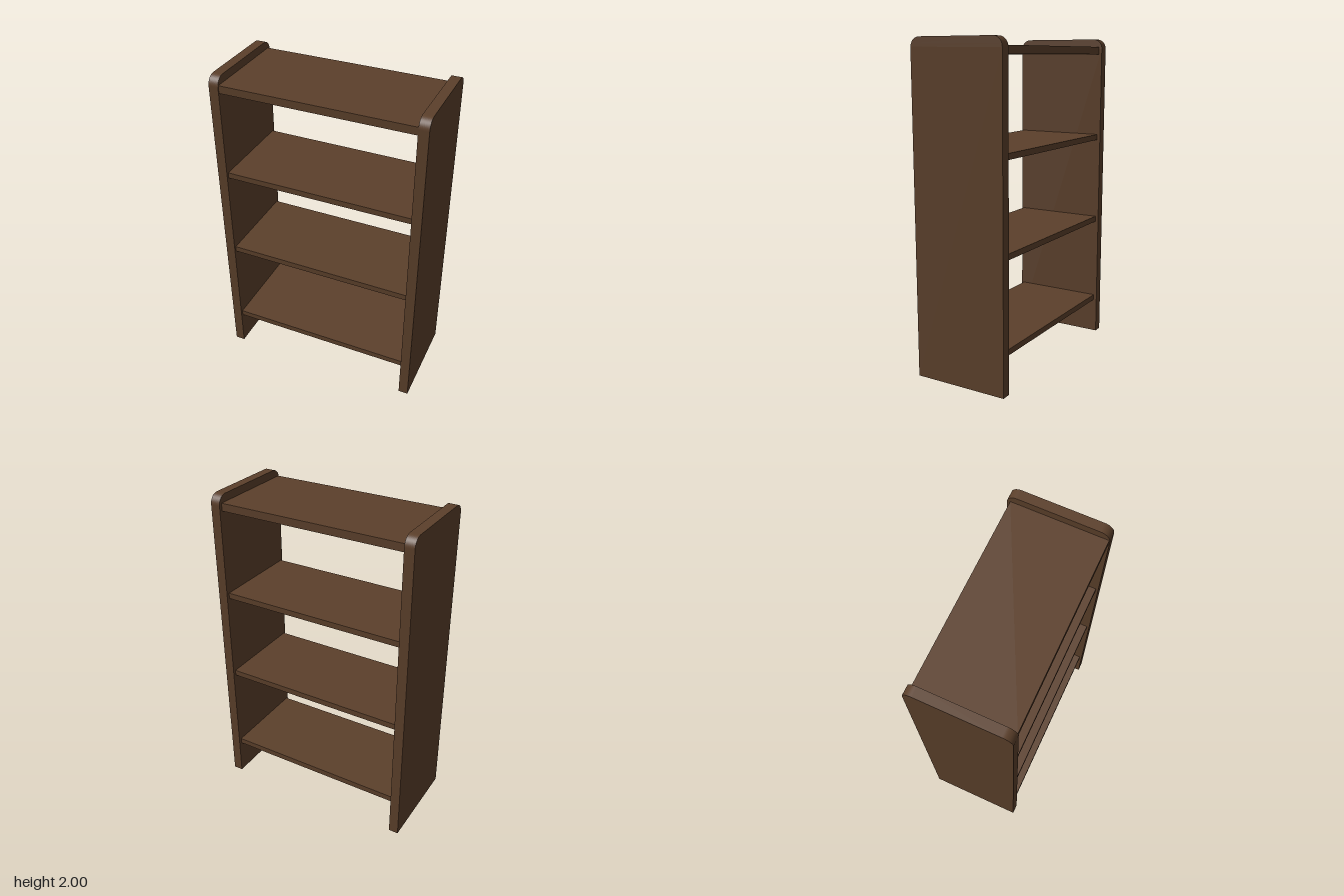
import * as THREE from 'three';

export function createModel() {
  const group = new THREE.Group();
  const wood = new THREE.MeshStandardMaterial({ color: 0x5c402b });
  wood.name = 'brown wood';

  // Side panel outline, with both top corners rounded
  const height = 2, halfDepth = 0.3, radius = 0.06, thickness = 0.06, innerX = 0.58;
  const outline = new THREE.Shape();
  outline.moveTo(-halfDepth, 0);
  outline.lineTo(halfDepth, 0);
  outline.lineTo(halfDepth, height - radius);
  outline.absarc(halfDepth - radius, height - radius, radius, 0, Math.PI / 2);
  outline.absarc(-halfDepth + radius, height - radius, radius, Math.PI / 2, Math.PI);
  outline.closePath();

  const panelGeometry = new THREE.ExtrudeGeometry(outline, {
    depth: thickness, bevelEnabled: false, curveSegments: 10,
  });
  panelGeometry.translate(0, 0, -thickness / 2);
  panelGeometry.rotateY(Math.PI / 2);

  for (const [name, side] of [['leftPanel', 1], ['rightPanel', -1]]) {
    const panel = new THREE.Mesh(panelGeometry, wood);
    panel.name = name;
    panel.position.x = side * (innerX + thickness / 2);
    group.add(panel);
  }

  // Shelves: bottom, top, back and front limits
  const shelves = [
    ['bottomShelf', 0.224, 0.26, -0.28, 0.285],
    ['lowerShelf', 0.784, 0.82, -0.28, 0.285],
    ['upperShelf', 1.344, 1.38, -0.28, 0.285],
    ['topShelf', 1.905, 1.952, -0.28, 0.295],
  ];
  for (const [name, bottom, top, back, front] of shelves) {
    const shelf = new THREE.Mesh(
      new THREE.BoxGeometry(innerX * 2, top - bottom, front - back), wood);
    shelf.name = name;
    shelf.position.set(0, (bottom + top) / 2, (back + front) / 2);
    group.add(shelf);
  }

  return group;
}
